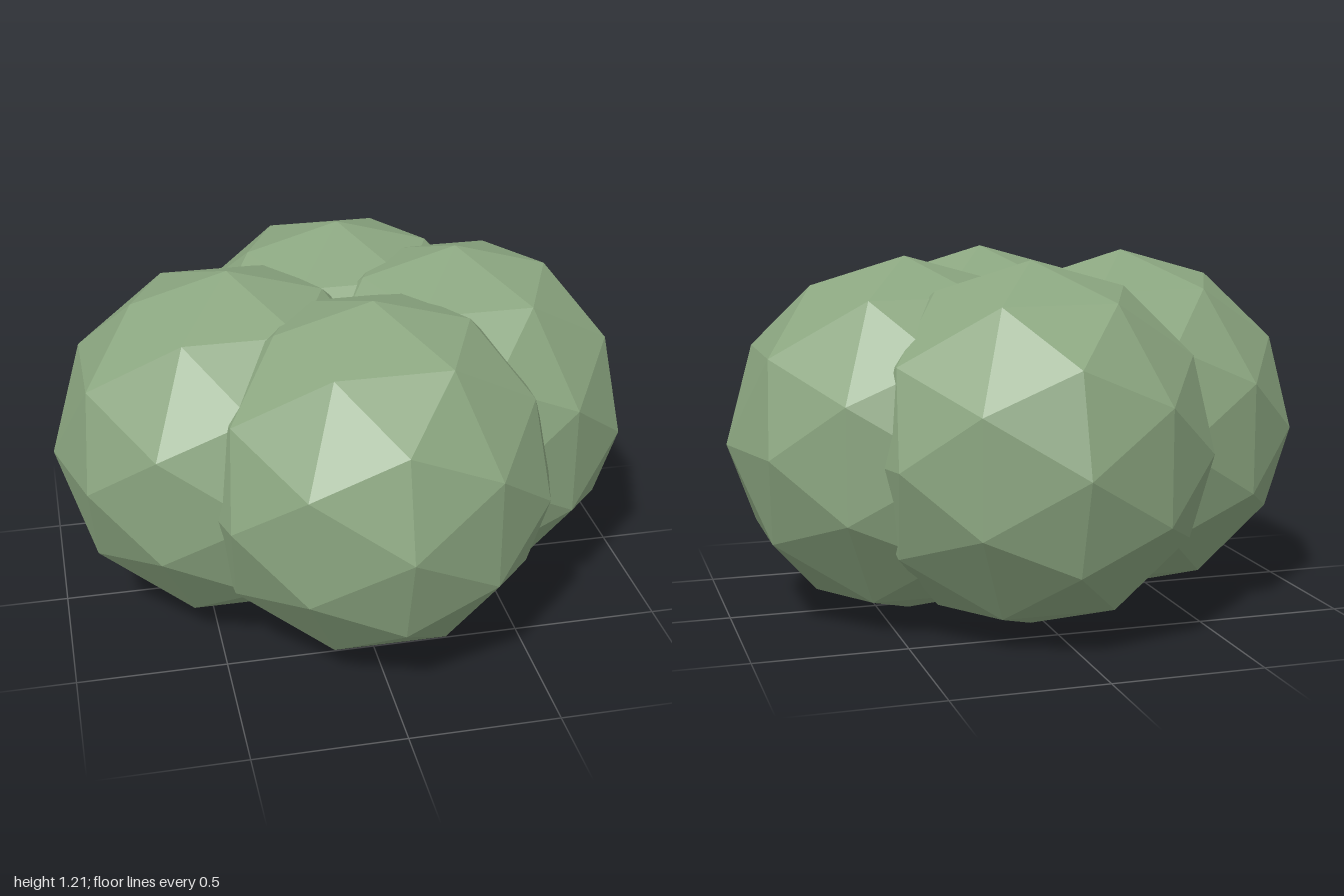
import * as THREE from 'three';

export function createModel() {
  const group = new THREE.Group();
  group.name = 'bush';

  const foliage = new THREE.MeshStandardMaterial({ color: 0x8ba680, flatShading: true });
  foliage.name = 'sage green foliage';

  // One faceted ball, shared by the four overlapping clumps
  const radius = 0.605;
  const ball = new THREE.IcosahedronGeometry(radius, 1);

  // name, x, z of each clump; all rest on the ground
  const clumps = [
    ['frontClump', 0.022, 0.349],
    ['backClump', 0.048, -0.349],
    ['leftClump', 0.395, -0.048],
    ['rightClump', -0.395, 0.016],
  ];
  for (const [name, x, z] of clumps) {
    const clump = new THREE.Mesh(ball, foliage);
    clump.name = name;
    clump.position.set(x, radius, z);
    group.add(clump);
  }
  return group;
}
